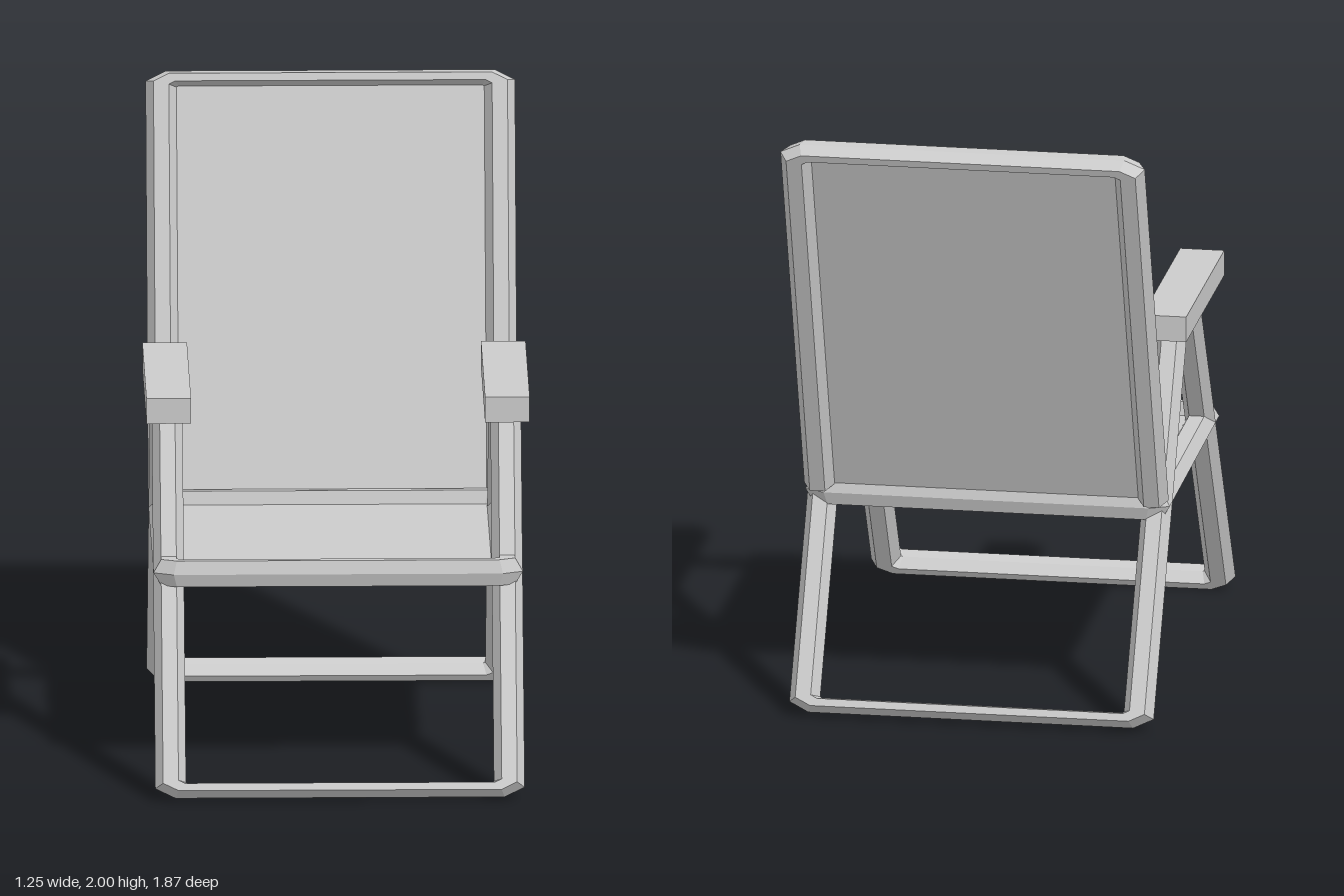
import * as THREE from 'three';

const WIDTH = 0.55;    // half distance between the side tubes
const X_STRETCH = 2;   // tubes are wider across the chair than along the frame
const IN_PLANE = 0.025;
const DEPTH = 0.05;
const CHAMFER = 0.018;

const material = new THREE.MeshStandardMaterial({ color: 0xcccccc, flatShading: true });
const fabricMaterial = new THREE.MeshStandardMaterial({
  color: 0xcccccc, flatShading: true, side: THREE.DoubleSide,
});

// Hexagonal tube swept with mitred corners along a path in the local xy plane
function tubeGeometry(path, closed) {
  const count = path.length;
  const positions = [];
  const index = [];
  const direction = (i) => path[(i + 1) % count].clone().sub(path[i]).normalize();
  const outward = (t) => new THREE.Vector2(t.y, -t.x);

  for (let i = 0; i < count; i++) {
    const first = !closed && i === 0;
    const last = !closed && i === count - 1;
    const before = outward(direction(first ? 0 : (i - 1 + count) % count));
    const after = outward(direction(last ? count - 2 : i));
    const mitre = before.clone().add(after).normalize();
    mitre.divideScalar(mitre.dot(after));
    for (let k = 0; k < 6; k++) {
      const a = (k * Math.PI) / 3;
      const offset = Math.cos(a) * IN_PLANE;
      positions.push(
        (path[i].x + mitre.x * offset) * X_STRETCH,
        path[i].y + mitre.y * offset,
        Math.sin(a) * DEPTH,
      );
    }
  }
  for (let i = 0; i < (closed ? count : count - 1); i++) {
    const j = (i + 1) % count;
    for (let k = 0; k < 6; k++) {
      const a = i * 6 + k, b = i * 6 + ((k + 1) % 6);
      const c = j * 6 + k, d = j * 6 + ((k + 1) % 6);
      index.push(a, c, b, b, c, d);
    }
  }
  // Caps on the open ends
  if (!closed) {
    const e = (count - 1) * 6;
    for (let k = 1; k < 5; k++) index.push(0, k, k + 1, e, e + k + 1, e + k);
  }
  const indexed = new THREE.BufferGeometry();
  indexed.setAttribute('position', new THREE.Float32BufferAttribute(positions, 3));
  indexed.setIndex(index);
  const geometry = indexed.toNonIndexed();
  geometry.computeVertexNormals();
  return geometry;
}

// Frame running from one [z, y] point to another, with a cross bar at its far end
// (and at its near end too when closed); optionally filled with fabric
function createFrame(name, from, to, { closed = false, fabric = false } = {}) {
  const dz = to[0] - from[0], dy = to[1] - from[1];
  const length = Math.hypot(dz, dy);
  const w = WIDTH / X_STRETCH, c = CHAMFER;
  const near = closed ? c : 0;
  const half = [[w, near], [w, length - c], [w - c, length]];
  if (closed) half.unshift([w - c, 0]);
  const mirrored = half.map(([x, y]) => [-x, y]).reverse();
  const path = [...half, ...mirrored].map(([x, y]) => new THREE.Vector2(x, y));

  const frame = new THREE.Group();
  frame.name = name;
  frame.position.set(0, from[1], from[0]);
  frame.rotation.x = Math.atan2(dz, dy);

  const tube = new THREE.Mesh(tubeGeometry(path, closed), material);
  tube.name = name + 'Tube';
  frame.add(tube);

  if (fabric) {
    const panel = new THREE.Mesh(new THREE.PlaneGeometry(WIDTH * 2 - 0.08, length), fabricMaterial);
    panel.name = name + 'Fabric';
    panel.position.y = length / 2;
    frame.add(panel);
  }
  return frame;
}

export function createModel() {
  const chair = new THREE.Group();
  chair.name = 'foldingChair';

  // Seat, backrest and the two leg frames
  chair.add(
    createFrame('seat', [-0.405, 0.672], [0.58, 0.685], { closed: true, fabric: true }),
    createFrame('backrest', [-0.42, 0.7], [-0.89, 1.973], { fabric: true }),
    createFrame('frontLegs', [0.176, 1.22], [0.895, 0.035]),
    createFrame('rearLegs', [-0.025, 1.22], [-0.716, 0.037]),
  );

  // Armrests on top of the legs
  for (const side of [-1, 1]) {
    const armrest = new THREE.Mesh(new THREE.BoxGeometry(0.145, 0.085, 0.745), material);
    armrest.name = side > 0 ? 'leftArmrest' : 'rightArmrest';
    armrest.position.set(side * WIDTH, 1.217, 0.163);
    chair.add(armrest);
  }
  return chair;
}
